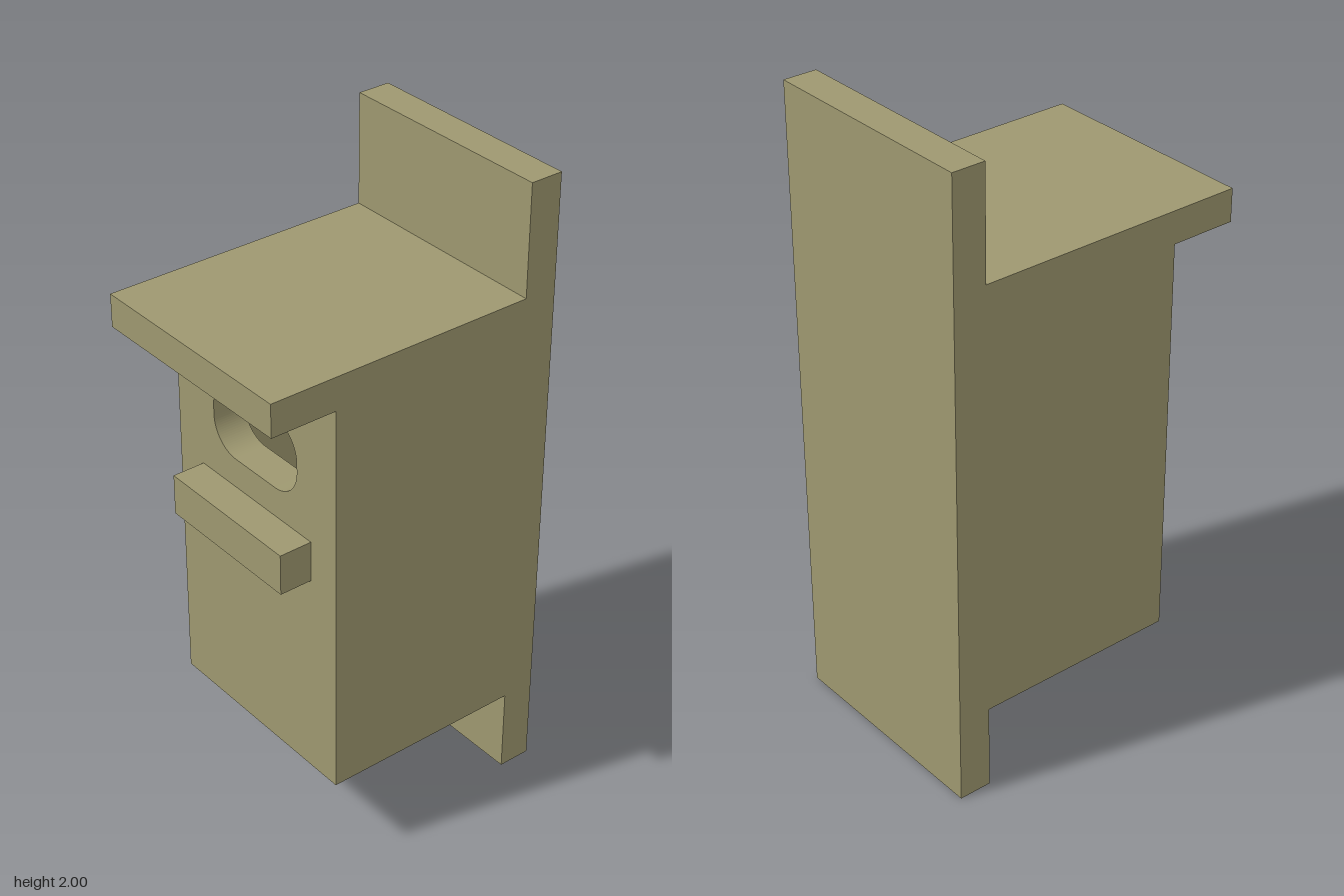
import * as THREE from 'three';

const T = 0.105;              // board thickness
const W = 0.36;               // half width
const BACK = -0.38, FRONT = 0.275;
const BOTTOM = 0.275, EAVE = 1.55;

export function createModel() {
  const wood = new THREE.MeshStandardMaterial({ color: 0x9e9870 });
  wood.name = 'wood';
  const house = new THREE.Group();
  house.name = 'nestBox';

  const add = (name, geometry) => {
    const mesh = new THREE.Mesh(geometry, wood);
    mesh.name = name;
    house.add(mesh);
    return mesh;
  };

  // Box given by its lower and upper corners
  const board = (name, [x0, y0, z0], [x1, y1, z1]) =>
    add(name, new THREE.BoxGeometry(x1 - x0, y1 - y0, z1 - z0))
      .position.set((x0 + x1) / 2, (y0 + y1) / 2, (z0 + z1) / 2);

  // Rectangle drawn counter-clockwise, with optional rounded corners
  const rect = (target, x0, y0, x1, y1, r = 0) => {
    if (!r) {
      target.moveTo(x0, y0).lineTo(x1, y0).lineTo(x1, y1).lineTo(x0, y1).closePath();
      return target;
    }
    target.moveTo(x0 + r, y0);
    target.absarc(x1 - r, y0 + r, r, -Math.PI / 2, 0);
    target.absarc(x1 - r, y1 - r, r, 0, Math.PI / 2);
    target.absarc(x0 + r, y1 - r, r, Math.PI / 2, Math.PI);
    target.absarc(x0 + r, y0 + r, r, Math.PI, Math.PI * 1.5);
    target.closePath();
    return target;
  };
  const extrude = (shape) =>
    new THREE.ExtrudeGeometry(shape, { depth: T, bevelEnabled: false, curveSegments: 12 });

  // Tall mounting board and overhanging roof
  board('backBoard', [-W, 0, -0.485], [W, 2, BACK]);
  board('roof', [-W, EAVE, BACK], [W, 1.653, 0.485]);

  // Side walls
  for (const [name, x] of [['rightWall', -W], ['leftWall', W - T]]) {
    board(name, [x, BOTTOM, BACK], [x + T, EAVE, FRONT - T]);
  }

  // Front wall with a rounded entrance
  const front = rect(new THREE.Shape(), -W, BOTTOM, W, EAVE);
  front.holes.push(rect(new THREE.Path(), -0.19, 1.17, 0.19, 1.4, 0.1));
  add('frontWall', extrude(front)).position.z = FRONT - T;

  // Floor with two drain holes
  const floor = rect(new THREE.Shape(), -W + T, BACK, W - T, FRONT - T);
  for (const x of [-0.145, 0.145]) {
    floor.holes.push(new THREE.Path().absarc(x, 0.043, 0.02, 0, Math.PI * 2));
  }
  add('floor', extrude(floor).rotateX(Math.PI / 2)).position.y = BOTTOM + T;

  // Landing ledge below the entrance
  board('perch', [-0.25, 0.945, FRONT], [0.25, 1.075, 0.38]);

  return house;
}
